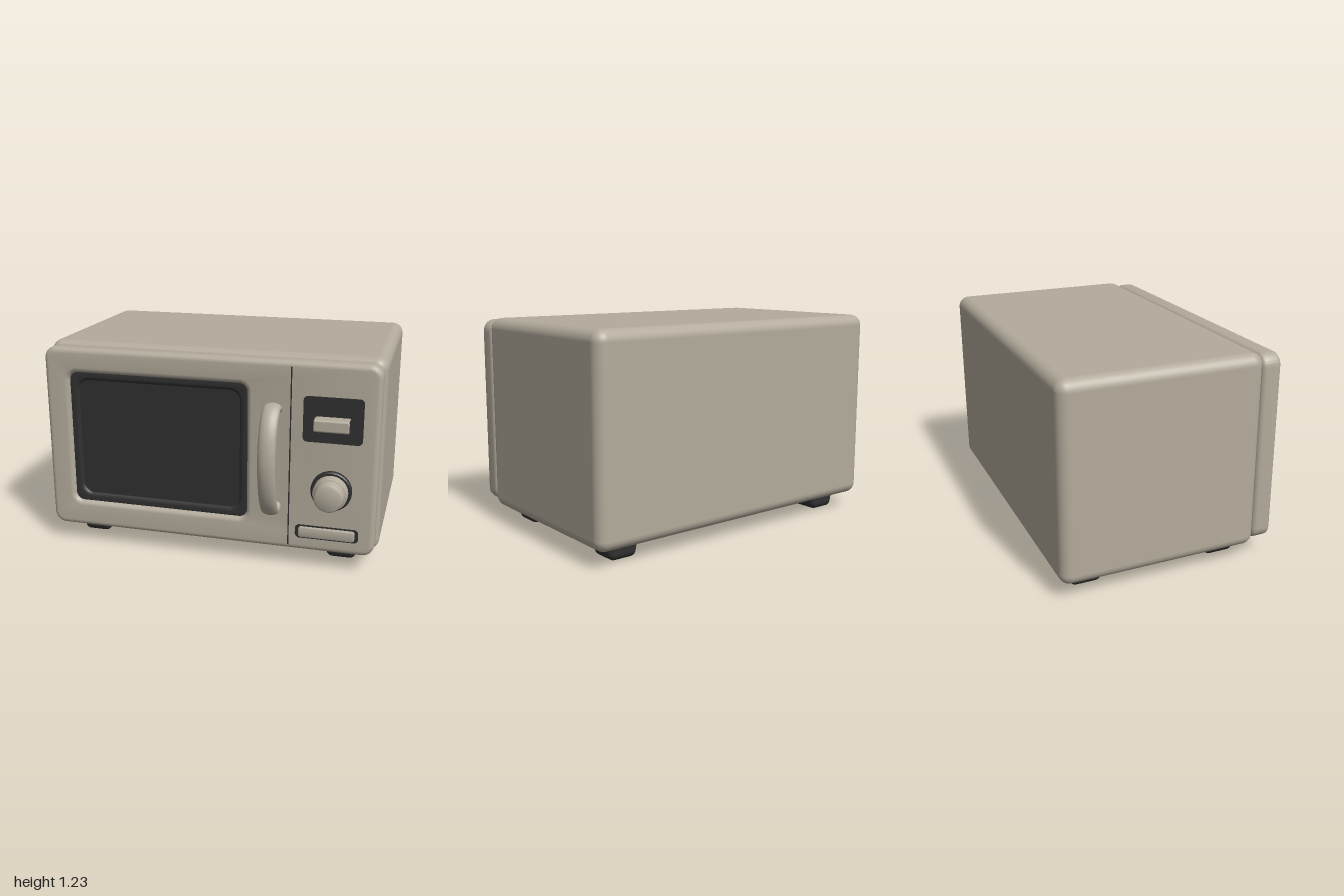
import * as THREE from 'three';
import { toCreasedNormals } from 'three/addons/utils/BufferGeometryUtils.js';
import { RoundedBoxGeometry } from 'three/addons/geometries/RoundedBoxGeometry.js';

const cream = new THREE.MeshStandardMaterial({ color: 0xb3ab9c });
cream.name = 'warm cream enamel';
const dark = new THREE.MeshStandardMaterial({ color: 0x303030 });
dark.name = 'charcoal plastic';

// Rounded rectangle outline between two corners
function roundRect(x0, y0, x1, y1, r, Type = THREE.Shape) {
  const s = new Type();
  s.moveTo(x0 + r, y0);
  s.lineTo(x1 - r, y0);
  s.absarc(x1 - r, y0 + r, r, -Math.PI / 2, 0);
  s.lineTo(x1, y1 - r);
  s.absarc(x1 - r, y1 - r, r, 0, Math.PI / 2);
  s.lineTo(x0 + r, y1);
  s.absarc(x0 + r, y1 - r, r, Math.PI / 2, Math.PI);
  s.lineTo(x0, y0 + r);
  s.absarc(x0 + r, y0 + r, r, Math.PI, Math.PI * 1.5);
  return s;
}

// Bevelled slab from z0 to z1; the outline is its widest extent
function slab(shape, z0, z1, bevel) {
  const geo = new THREE.ExtrudeGeometry(shape, {
    depth: z1 - z0 - 2 * bevel, bevelEnabled: bevel > 0, bevelSize: bevel,
    bevelThickness: bevel, bevelOffset: -bevel, bevelSegments: 5, curveSegments: 8,
  });
  geo.translate(0, 0, z0 + bevel);
  return toCreasedNormals(geo, 0.6);
}

// Turned part facing +z, from [radius, z] points
function turned(points) {
  const geo = new THREE.LatheGeometry(points.map(([r, z]) => new THREE.Vector2(r, z)), 40);
  geo.rotateX(Math.PI / 2);
  return toCreasedNormals(geo, 0.6);
}

export function createModel() {
  const model = new THREE.Group();
  model.name = 'microwaveOven';
  const add = (name, geo, mat, x = 0, y = 0, z = 0) => {
    const mesh = new THREE.Mesh(geo, mat);
    mesh.name = name;
    mesh.position.set(x, y, z);
    model.add(mesh);
    return mesh;
  };

  // Cabinet
  add('cabinet', new RoundedBoxGeometry(1.99, 1.14, 1.17, 5, 0.065), cream, 0, 0.66, -0.155);

  // Front frame with window opening
  const front = roundRect(-0.98, 0.11, 0.98, 1.215, 0.07);
  front.holes.push(roundRect(-0.83, 0.27, 0.24, 1.07, 0.05, THREE.Path));
  add('frontFrame', slab(front, 0.42, 0.54, 0.03), cream);

  // Window with a sloping border
  const border = roundRect(-0.85, 0.25, 0.26, 1.09, 0.06);
  border.holes.push(roundRect(-0.78, 0.32, 0.19, 1.02, 0.06, THREE.Path));
  add('windowBorder', slab(border, 0.44, 0.515, 0.025), dark);
  add('windowGlass', new THREE.BoxGeometry(1.06, 0.8, 0.009), dark, -0.295, 0.67, 0.495);

  // Seam between door and control panel
  add('doorSeam', new THREE.BoxGeometry(0.007, 1.05, 0.004), dark, 0.49, 0.6625, 0.54);

  // Bowed door handle
  const path = new THREE.CatmullRomCurve3([
    [0.935, 0.52], [0.96, 0.585], [0.92, 0.645], [0.83, 0.695], [0.68, 0.717],
    [0.53, 0.695], [0.42, 0.65], [0.36, 0.59], [0.38, 0.52],
  ].map(([y, z]) => new THREE.Vector3(0, y, z)));
  const handle = new THREE.TubeGeometry(path, 48, 0.028, 16);
  handle.scale(1.8, 1, 1);
  add('doorHandle', handle, cream, 0.395);

  // Display panel and its lever
  add('displayPanel', slab(roundRect(0.56, 0.77, 0.89, 1.03, 0.025), 0.537, 0.545, 0), dark);
  add('displayLever', new RoundedBoxGeometry(0.2, 0.07, 0.09, 3, 0.012), cream, 0.725, 0.885, 0.572);
  for (const s of [-1, 1]) {
    add('leverEnd', new THREE.BoxGeometry(0.009, 0.065, 0.08), dark, 0.725 + s * 0.1, 0.885, 0.572);
  }

  // Timer knob on a dark collar
  add('knobCollar', turned([[0, 0.53], [0.115, 0.53], [0.115, 0.562], [0.108, 0.568], [0, 0.568]]),
    dark, 0.73, 0.495);
  add('knob', turned([
    [0.097, 0.56], [0.097, 0.61], [0.092, 0.62], [0.086, 0.622], [0.082, 0.665],
    [0.076, 0.677], [0.066, 0.682], [0, 0.682],
  ]), cream, 0.73, 0.495);

  // Door release button in a dark surround
  add('buttonSurround', slab(roundRect(0.53, 0.19, 0.89, 0.27, 0.025), 0.537, 0.545, 0), dark);
  add('releaseButton', slab(roundRect(0.55, 0.2, 0.87, 0.262, 0.015), 0.53, 0.562, 0.008), cream);

  // Feet, narrowing slightly towards the ground
  const foot = new RoundedBoxGeometry(0.19, 0.14, 0.2, 4, 0.04);
  const p = foot.attributes.position;
  for (let i = 0; i < p.count; i++) {
    const k = p.getY(i) < 0 ? 0.93 : 1;
    p.setX(i, p.getX(i) * k);
    p.setZ(i, p.getZ(i) * k);
  }
  for (const x of [-0.775, 0.775]) {
    for (const z of [-0.55, 0.28]) add('foot', foot, dark, x, 0.07, z);
  }

  return model;
}
